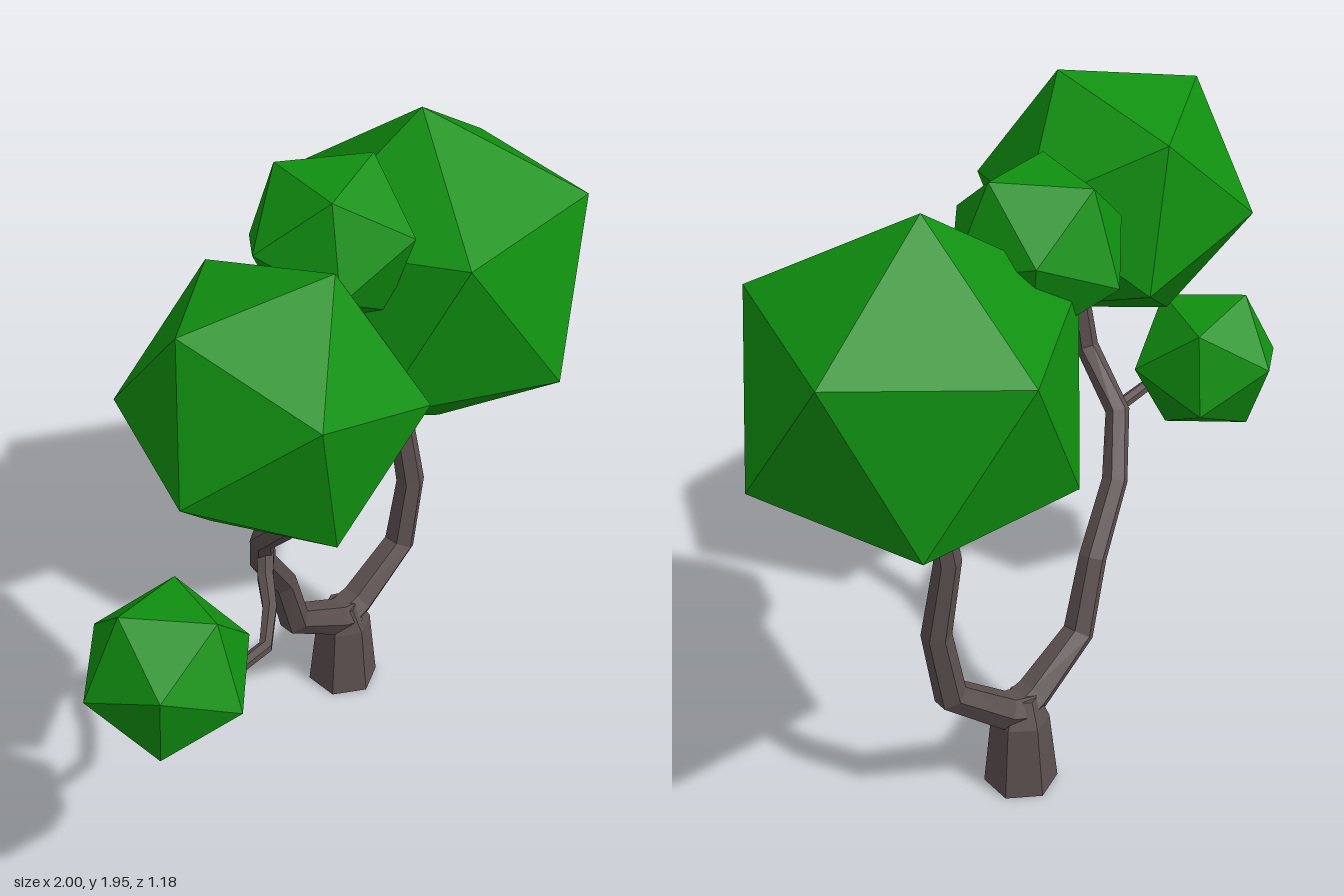
import * as THREE from 'three';

const V = (p) => new THREE.Vector3(...p);

// Six-sided capped limb through stations [x, y, z, radius]; one ring corner points along ref
function limb(stations, ref, sides = 6) {
  const pts = stations.map((s) => V(s.slice(0, 3)));
  const last = pts.length - 1;
  const pos = [];
  const idx = [];
  pts.forEach((p, i) => {
    const t = new THREE.Vector3();
    if (i > 0) t.add(p.clone().sub(pts[i - 1]).normalize());
    if (i < last) t.add(pts[i + 1].clone().sub(p).normalize());
    t.normalize();
    const n = ref.clone().addScaledVector(t, -ref.dot(t)).normalize();
    const b = t.clone().cross(n);
    for (let j = 0; j < sides; j++) {
      const a = (j / sides) * Math.PI * 2;
      const q = p.clone()
        .addScaledVector(n, Math.cos(a) * stations[i][3])
        .addScaledVector(b, Math.sin(a) * stations[i][3]);
      pos.push(q.x, q.y, q.z);
    }
  });
  for (let i = 0; i < last; i++) {
    for (let j = 0; j < sides; j++) {
      const a = i * sides + j;
      const b = i * sides + ((j + 1) % sides);
      idx.push(a, b, b + sides, a, b + sides, a + sides);
    }
  }
  // End caps
  const top = last * sides;
  for (let j = 1; j < sides - 1; j++) {
    idx.push(0, j + 1, j, top, top + j, top + j + 1);
  }
  const g = new THREE.BufferGeometry();
  g.setAttribute('position', new THREE.Float32BufferAttribute(pos, 3));
  g.setIndex(idx);
  g.computeVertexNormals();
  return g;
}

// Icosahedron turned so that two neighbouring corners lie in directions a and b
function crown(radius, a, b) {
  const va = V(a).normalize();
  const vb = V(b).normalize();
  const y = va.clone().add(vb).normalize();
  const x = vb.clone().sub(va).normalize();
  const z = x.clone().cross(y);
  return new THREE.IcosahedronGeometry(radius, 0)
    .applyMatrix4(new THREE.Matrix4().makeBasis(x, y, z));
}

export function createModel() {
  const group = new THREE.Group();
  const bark = new THREE.MeshStandardMaterial({ color: 0x5c5050, flatShading: true });
  const leaf = new THREE.MeshStandardMaterial({ color: 0x109010, flatShading: true });
  const add = (name, geometry, material) => {
    const mesh = new THREE.Mesh(geometry, material);
    mesh.name = name;
    group.add(mesh);
    return mesh;
  };
  const zAxis = new THREE.Vector3(0, 0, 1);
  const yAxis = new THREE.Vector3(0, 1, 0);

  // Trunk with a tapered fork on top
  add('trunk', limb([
    [0.243, 0, -0.152, 0.109],
    [0.243, 0.225, -0.152, 0.086],
    [0.235, 0.3, -0.15, 0.05],
  ], zAxis), bark);

  // Main branches
  add('rightBranch', limb([
    [0.26, 0.25, -0.15, 0.062],
    [0.19, 0.275, -0.14, 0.056],
    [0.0, 0.4, -0.11, 0.048],
    [-0.078, 0.615, -0.075, 0.042],
    [-0.205, 0.8, -0.012, 0.039],
    [-0.28, 0.97, 0.075, 0.036],
    [-0.28, 1.12, 0.225, 0.034],
    [-0.262, 1.32, 0.25, 0.03],
  ], zAxis), bark);
  add('leftBranch', limb([
    [0.22, 0.25, -0.15, 0.062],
    [0.3, 0.275, -0.152, 0.056],
    [0.482, 0.415, -0.15, 0.05],
    [0.522, 0.64, -0.15, 0.044],
    [0.497, 0.89, -0.18, 0.039],
    [0.515, 1.05, -0.17, 0.035],
  ], zAxis), bark);

  // Side twig
  add('twig', limb([
    [-0.23, 0.885, 0.03, 0.028],
    [-0.31, 0.88, 0.12, 0.025],
    [-0.365, 0.85, 0.2, 0.022],
    [-0.46, 0.825, 0.29, 0.02],
    [-0.575, 0.838, 0.315, 0.019],
    [-0.66, 0.86, 0.3, 0.017],
  ], yAxis), bark);

  // Leaf crowns: name, centre, radius, two neighbouring corner directions
  const crowns = [
    ['leftCrown', [0.545, 1.413, -0.117], 0.508, [-0.015, 0.506, -0.041], [0.413, 0.222, -0.21]],
    ['rightCrown', [-0.39, 1.576, 0.247], 0.404, [0.13, 0.371, 0.098], [0.378, 0.092, -0.095]],
    ['twigCrown', [-0.764, 0.906, 0.25], 0.242, [0.071, 0.194, 0.13], [-0.112, 0.206, -0.05]],
    ['middleCrown', [0.136, 1.69, -0.1], 0.257, [0.14, 0.214, 0.02], [0.095, 0.06, 0.233]],
  ];
  for (const [name, centre, radius, a, b] of crowns) {
    add(name, crown(radius, a, b), leaf).position.set(...centre);
  }
  return group;
}
